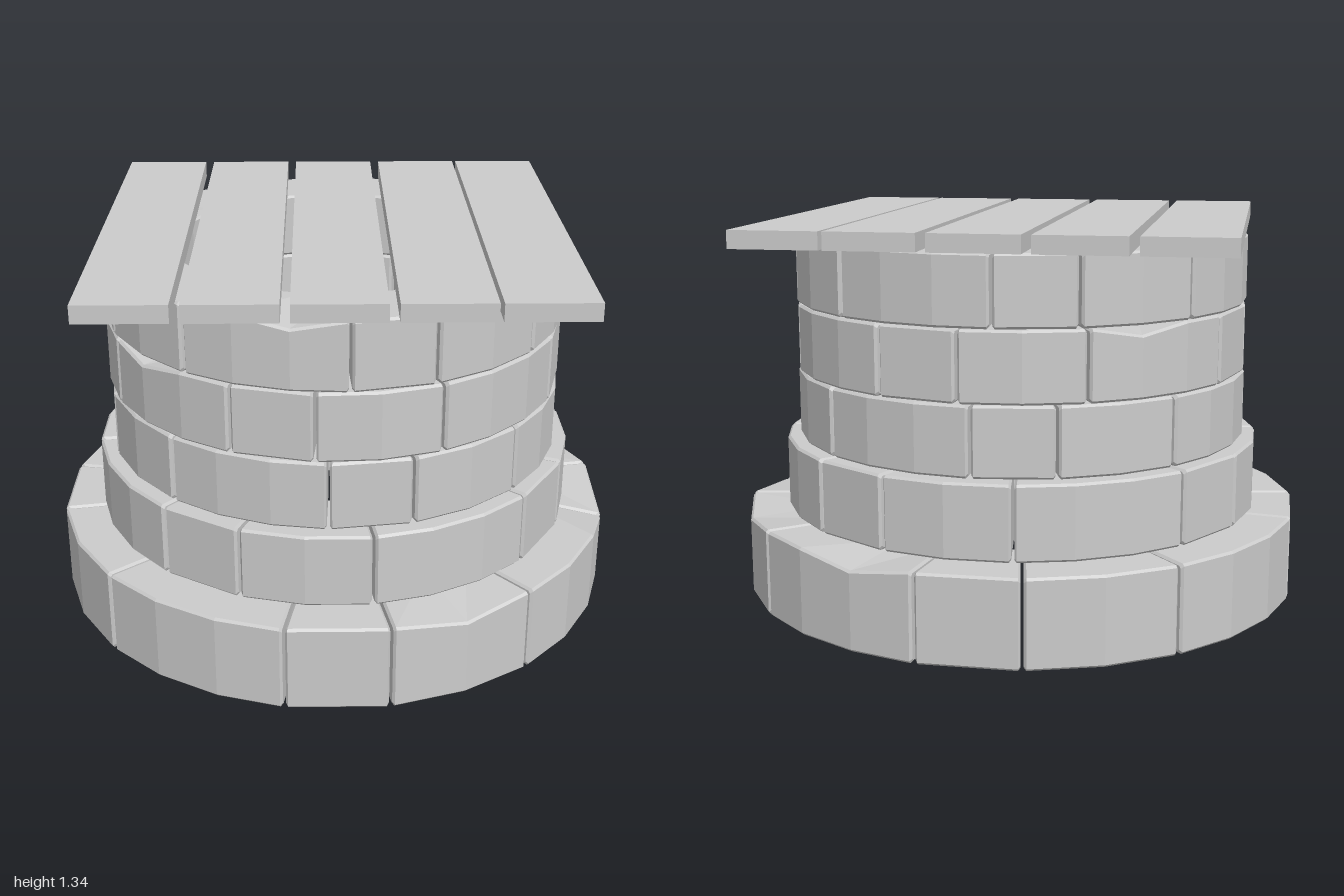
import * as THREE from 'three';

const material = new THREE.MeshStandardMaterial({ color: 0xcccccc, flatShading: true });
const BEVEL = 0.008;
const HALF_GAP = 0.005;
const rad = THREE.MathUtils.degToRad;

// Bevelled cross-section of a course as [radius, y]; inset shrinks it, drop chips the outer top edge
function profile({ inner, outer, bottom, top }, inset, drop) {
  const r0 = inner + inset, r1 = outer - inset, y0 = bottom + inset, y1 = top - inset;
  const b = BEVEL;
  return [
    [r0 + b, y0], [r1 - b, y0], [r1, y0 + b], [r1, y1 - b - drop],
    [r1 - b, y1 - drop], [r0 + b, y1], [r0, y1 - b], [r0, y0 + b],
  ];
}

// One curved stone swept between two angles (degrees from +z towards +x)
function stoneGeometry(course, start, sweep, segments) {
  const positions = [], index = [];
  const addSection = (angle, inset, offset) => {
    const chip = course.chips.find(([a]) => Math.abs((((angle - a) % 360) + 540) % 360 - 180) < 2);
    for (const [r, y] of profile(course, inset, chip ? chip[1] : 0)) {
      const t = rad(angle) + offset / r;
      positions.push(r * Math.sin(t), y, r * Math.cos(t));
    }
  };
  addSection(start, BEVEL, HALF_GAP);
  for (let k = 0; k <= segments; k++) {
    const offset = k === 0 ? 1 : k === segments ? -1 : 0;
    addSection(start + (sweep * k) / segments, 0, offset * (HALF_GAP + BEVEL));
  }
  addSection(start + sweep, BEVEL, -HALF_GAP);

  const last = (segments + 2) * 8;
  for (let s = 0; s < last; s += 8) {
    for (let i = 0; i < 8; i++) {
      const n = (i + 1) % 8;
      index.push(s + i, s + 8 + i, s + 8 + n, s + i, s + 8 + n, s + n);
    }
  }
  // End caps
  for (let i = 1; i < 7; i++) index.push(0, i, i + 1, last, last + i + 1, last + i);

  const geometry = new THREE.BufferGeometry();
  geometry.setAttribute('position', new THREE.Float32BufferAttribute(positions, 3));
  geometry.setIndex(index);
  const flat = geometry.toNonIndexed();
  flat.computeVertexNormals();
  return flat;
}

// Courses from the ground up; chips are [angle, depth]
const courses = [
  { name: 'baseCourse', inner: 0.7, outer: 1.0, bottom: 0, top: 0.302, turn: -10,
    chips: [[25, 0.03], [80, 0.04], [115, 0.025], [156.7, 0.03]] },
  { name: 'secondCourse', inner: 0.6, outer: 0.855, bottom: 0.302, top: 0.558, turn: -42, chips: [] },
  { name: 'thirdCourse', inner: 0.56, outer: 0.807, bottom: 0.56, top: 0.798, turn: -2, chips: [] },
  { name: 'fourthCourse', inner: 0.56, outer: 0.807, bottom: 0.8, top: 1.038, turn: -25,
    chips: [[308.3, 0.03], [218.3, 0.03]] },
  { name: 'topCourse', inner: 0.56, outer: 0.807, bottom: 1.04, top: 1.276, turn: 3,
    chips: [[-10.3, 0.03], [93, 0.02], [128, 0.02]] },
];

// Stone widths repeated every quarter turn: [degrees, facets]
const stonePattern = [[20, 1], [30, 2], [40, 3]];

export function createModel() {
  const model = new THREE.Group();
  model.name = 'coveredWell';

  // Stone courses
  for (const course of courses) {
    const ring = new THREE.Group();
    ring.name = course.name;
    let angle = course.turn;
    for (let quarter = 0; quarter < 4; quarter++) {
      for (const [sweep, segments] of stonePattern) {
        const stone = new THREE.Mesh(stoneGeometry(course, angle, sweep, segments), material);
        stone.name = 'stone';
        ring.add(stone);
        angle += sweep;
      }
    }
    model.add(ring);
  }

  // Plank lid
  const lid = new THREE.Group();
  lid.name = 'plankLid';
  const plankGeometry = new THREE.BoxGeometry(0.298, 0.06, 1.64);
  for (const x of [-0.651, -0.321, 0.008, 0.338, 0.649]) {
    const plank = new THREE.Mesh(plankGeometry, material);
    plank.name = 'plank';
    plank.position.set(x, 1.306, 0);
    lid.add(plank);
  }
  model.add(lid);

  return model;
}
